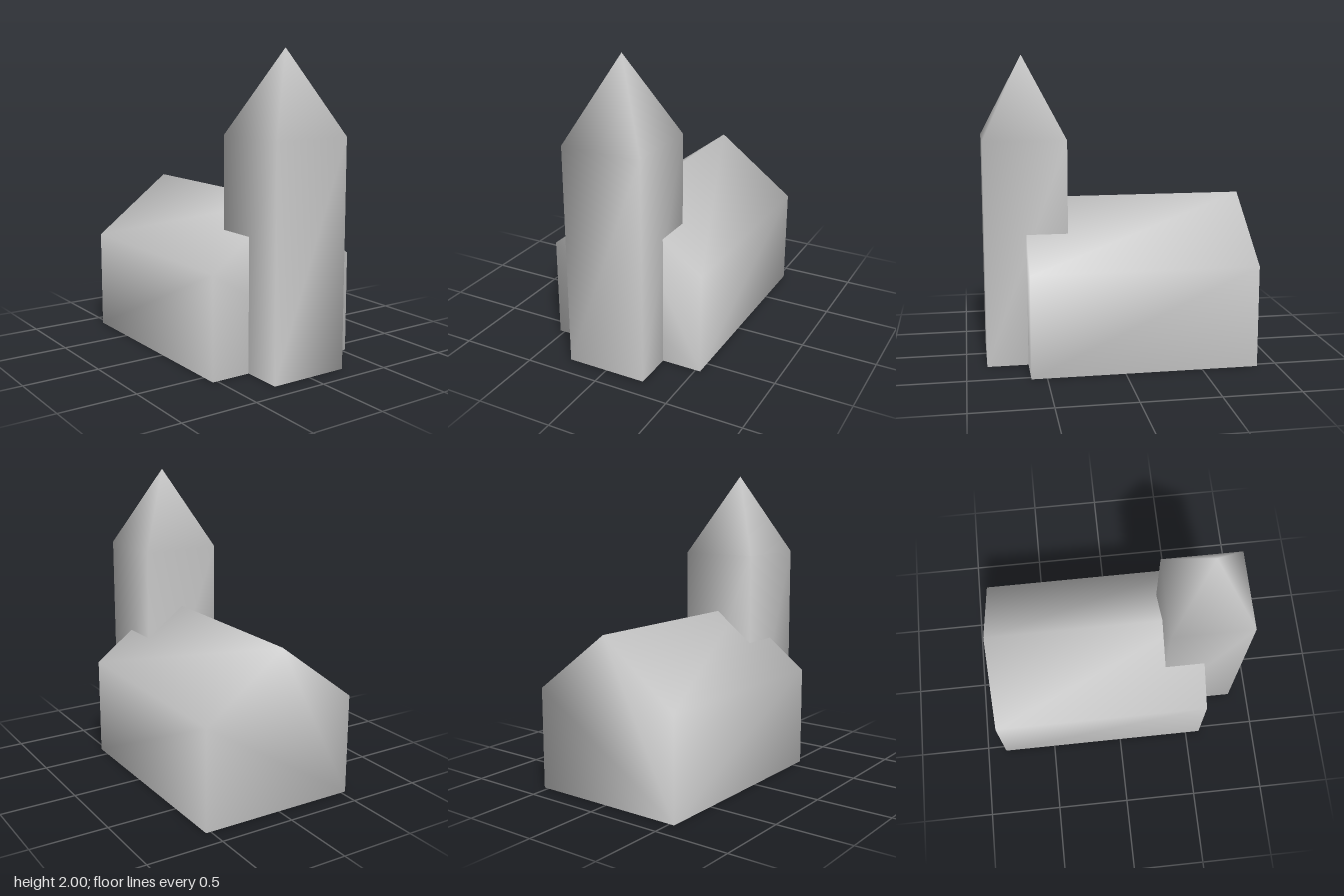
import * as THREE from 'three';

const stone = new THREE.MeshStandardMaterial({ color: 0xcccccc, side: THREE.DoubleSide });
stone.name = 'pale grey stone';

// Shell with shared corners, so the normals blend smoothly round the edges.
function shell(name, points, faces) {
  const index = [];
  for (const f of faces) {
    for (let i = 1; i < f.length - 1; i++) index.push(f[0], f[i], f[i + 1]);
  }
  const geometry = new THREE.BufferGeometry();
  geometry.setAttribute('position', new THREE.Float32BufferAttribute(points.flat(), 3));
  geometry.setIndex(index);
  geometry.computeVertexNormals();
  const mesh = new THREE.Mesh(geometry, stone);
  mesh.name = name;
  return mesh;
}

// Long hall: a gabled cross-section carried from front to back, open underneath.
function createNave() {
  const w = 0.533, eaves = 0.667, ridge = 1.067;
  const section = [[w, 0], [w, eaves], [0, ridge], [-w, eaves], [-w, 0]];
  const n = section.length;
  const points = [0.6, -0.867].flatMap((z) => section.map(([x, y]) => [x, y, z]));
  const faces = [
    [0, 1, 2, 3, 4], // front gable
    [9, 8, 7, 6, 5], // back gable
  ];
  for (let i = 0; i < n - 1; i++) faces.push([i, i + n, i + n + 1, i + 1]);
  return shell('nave', points, faces);
}

// Square tower with a pyramid spire, open underneath.
function createTower() {
  const r = 0.267, zc = 0.6, top = 1.467;
  const corners = [[-r, r], [r, r], [r, -r], [-r, -r]];
  const points = [0, top].flatMap((y) => corners.map(([x, z]) => [x, y, z + zc]));
  points.push([0, 2, zc]);
  const faces = [];
  for (let i = 0; i < 4; i++) {
    const j = (i + 1) % 4;
    faces.push([i, j, j + 4, i + 4]); // wall
    faces.push([i + 4, j + 4, 8]); // spire side
  }
  return shell('towerWithSpire', points, faces);
}

export function createModel() {
  const group = new THREE.Group();
  group.name = 'church';
  group.add(createNave(), createTower());
  return group;
}
